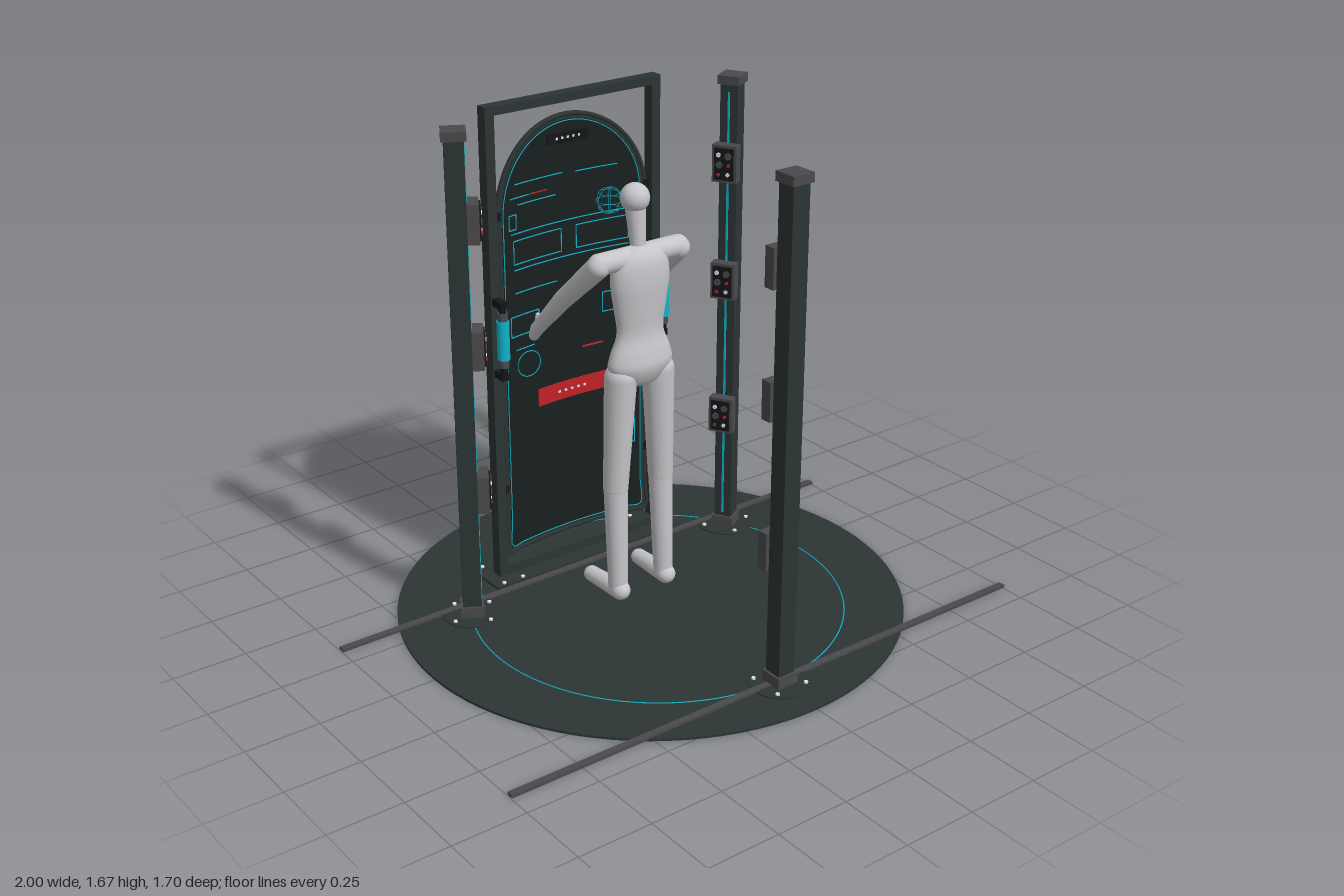
import * as THREE from 'three';

const material = (name, color) => Object.assign(new THREE.MeshStandardMaterial({ color }), { name });
const dark = material('dark metal', 0x2c3534);
const glass = material('dark glass', 0x191f1f);
const grey = material('grey housing', 0x4a494c);
const black = material('black trim', 0x141617);
const body = material('pale mannequin', 0xc6c6ca);
const cyan = material('cyan light', 0x10b4ca);
const red = material('red signal', 0xc02226);
const white = material('white fitting', 0xe2e4e6);

const V = (x, y, z) => new THREE.Vector3(x, y, z);
const UP = V(0, 1, 0);

function add(parent, name, geo, mat, x = 0, y = 0, z = 0) {
  const mesh = new THREE.Mesh(geo, mat);
  mesh.name = name;
  mesh.position.set(x, y, z);
  parent.add(mesh);
  return mesh;
}
function group(parent, name) {
  const g = new THREE.Group();
  g.name = name;
  parent.add(g);
  return g;
}
const box = (p, name, mat, w, h, d, x, y, z) => add(p, name, new THREE.BoxGeometry(w, h, d), mat, x, y, z);
const disc = (p, name, mat, r, h, x, y, z, n = 16) => add(p, name, new THREE.CylinderGeometry(r, r, h, n), mat, x, y, z);

// Tapered rod from a to b, with rounded ends if wanted
function limb(p, name, mat, a, b, ra, rb, round = true) {
  const dir = b.clone().sub(a);
  const m = add(p, name, new THREE.CylinderGeometry(rb, ra, dir.length(), 20, 1, round), mat);
  m.position.copy(a).addScaledVector(dir, 0.5);
  m.quaternion.setFromUnitVectors(UP, dir.normalize());
  if (round) for (const [c, r] of [[a, ra], [b, rb]])
    add(p, name + 'Joint', new THREE.SphereGeometry(r, 20, 14), mat, c.x, c.y, c.z);
}

// The door panel is bowed about a vertical axis
const bow = x => -0.459 + 0.38 * x * x;
const ARCH_Y = 1.29;

// Arched bowed slab
function archSlab(halfWidth, bottom, depth) {
  const geo = new THREE.BoxGeometry(2, 1, depth, 48, 8, 1);
  const pos = geo.attributes.position;
  for (let i = 0; i < pos.count; i++) {
    const x = halfWidth * Math.sin(pos.getX(i) * Math.PI / 2);
    const top = ARCH_Y + Math.sqrt(Math.max(0, halfWidth ** 2 - x * x));
    pos.setXYZ(i, x, bottom + (pos.getY(i) + 0.5) * (top - bottom), pos.getZ(i) + bow(x));
  }
  geo.computeVertexNormals();
  return geo;
}
// Tube following the arched outline
function archTube(halfWidth, bottom, radius, lift) {
  const pts = [];
  for (let i = 0; i <= 12; i++) pts.push([-halfWidth + halfWidth * i / 6, bottom]);
  for (let i = 1; i <= 12; i++) pts.push([halfWidth, bottom + (ARCH_Y - bottom) * i / 12]);
  for (let i = 1; i <= 24; i++) {
    const a = Math.PI * i / 24;
    pts.push([halfWidth * Math.cos(a), ARCH_Y + halfWidth * Math.sin(a)]);
  }
  for (let i = 1; i < 12; i++) pts.push([-halfWidth, ARCH_Y + (bottom - ARCH_Y) * i / 12]);
  const curve = new THREE.CatmullRomCurve3(pts.map(([x, y]) => V(x, y, bow(x) + lift)), true, 'centripetal');
  return new THREE.TubeGeometry(curve, 240, radius, 6, true);
}
// Thin plate lying on the bowed screen
function plate(p, name, mat, x, y, w, h, d = 0.003) {
  const geo = new THREE.BoxGeometry(w, h, d, w > 0.05 ? 12 : 1, 1, 1);
  const pos = geo.attributes.position;
  for (let i = 0; i < pos.count; i++) pos.setZ(i, pos.getZ(i) + bow(x + pos.getX(i)) + 0.009);
  geo.computeVertexNormals();
  add(p, name, geo, mat, x, y, 0);
}
function outline(p, name, x, y, w, h, t = 0.003) {
  for (const s of [-1, 1]) {
    plate(p, name, cyan, x, y + s * h / 2, w, t);
    plate(p, name, cyan, x + s * w / 2, y, t, h);
  }
}

function buildFloor(root) {
  const g = group(root, 'floor');
  disc(g, 'platform', dark, 0.848, 0.008, 0, 0.004, 0, 96);
  const ring = add(g, 'floorLightRing', new THREE.TorusGeometry(0.623, 0.0022, 6, 128), cyan, 0, 0.008, 0.04);
  ring.rotation.x = Math.PI / 2;
  for (const z of [-0.322, 0.662]) box(g, 'floorRail', grey, 2, 0.01, 0.024, 0, 0.01, z);
}

// Post with its modules on the local +z side
function buildPost(root, angle) {
  const g = group(root, 'sensorPost');
  g.position.set(0.623 * Math.sin(angle), 0, 0.046 + 0.623 * Math.cos(angle));
  g.rotation.y = angle + Math.PI;
  disc(g, 'postFlange', dark, 0.1, 0.004, 0, 0.01, 0, 32);
  box(g, 'postFoot', grey, 0.078, 0.038, 0.078, 0, 0.031, 0);
  box(g, 'postColumn', dark, 0.062, 1.62, 0.062, 0, 0.83, 0);
  box(g, 'postCap', grey, 0.078, 0.03, 0.078, 0, 1.655, 0);
  box(g, 'lightStrip', cyan, 0.007, 1.55, 0.004, 0, 0.84, 0.032);
  for (const sx of [-1, 1]) for (const sz of [-1, 1])
    disc(g, 'flangeBolt', white, 0.007, 0.008, sx * 0.058, 0.014, sz * 0.058, 8);
  for (const y of [1.378, 0.962, 0.462]) {
    const m = group(g, 'sensorModule');
    m.position.set(0, y, 0.031);
    box(m, 'moduleHousing', grey, 0.086, 0.128, 0.038, 0, 0, 0.019);
    box(m, 'moduleFace', black, 0.068, 0.11, 0.006, 0, 0, 0.04);
    for (const [mat, x, dy, r] of [[white, -0.018, 0.032, 0.008], [grey, 0.016, 0.03, 0.012],
      [red, 0.018, -0.002, 0.006], [grey, -0.015, -0.002, 0.012], [white, 0.015, -0.034, 0.007], [red, -0.018, -0.036, 0.006]])
      disc(m, 'sensorLens', mat, r, 0.006, x, dy, 0.044, 12).rotation.x = Math.PI / 2;
  }
}

function buildDoor(root) {
  const g = group(root, 'door');
  box(g, 'doorBasePlate', dark, 0.78, 0.008, 0.18, 0, 0.014, -0.43);
  for (const s of [-1, 1]) {
    box(g, 'frameUpright', dark, 0.034, 1.65, 0.042, s * 0.325, 0.843, -0.421);
    for (const x of [0.28, 0.355]) for (const z of [-0.495, -0.355])
      disc(g, 'plateBolt', white, 0.007, 0.006, s * x, 0.021, z, 8);
    for (const y of [0.33, 0.77, 1.3]) box(g, 'panelBracket', black, 0.03, 0.03, 0.024, s * 0.3, y, -0.428);
    // Handle
    const h = group(g, 'handle');
    h.position.set(s * 0.325, 0.9, -0.36);
    disc(h, 'handleBar', black, 0.012, 0.27, 0, 0, 0, 16);
    disc(h, 'handleGrip', cyan, 0.021, 0.135, 0, 0.004, 0, 24);
    for (const e of [-1, 1]) {
      box(h, 'handleArm', black, 0.026, 0.024, 0.055, 0, e * 0.125, -0.018);
      disc(h, 'gripCollar', grey, 0.017, 0.03, 0, 0.004 + e * 0.08, 0, 20);
    }
  }
  box(g, 'frameTop', dark, 0.684, 0.03, 0.042, 0, 1.655, -0.421);
  box(g, 'frameBottom', dark, 0.684, 0.032, 0.042, 0, 0.034, -0.421);

  // Bowed arched panel
  add(g, 'panelShell', archSlab(0.298, 0.08, 0.012), dark);
  add(g, 'panelScreen', archSlab(0.276, 0.1, 0.016), glass);
  add(g, 'panelRim', archTube(0.292, 0.086, 0.008, 0.003), dark);
  add(g, 'panelLightLine', archTube(0.272, 0.105, 0.0018, 0.009), cyan);

  // Screen details
  const d = group(g, 'screenDetails');
  plate(d, 'sensorBar', black, 0, 1.508, 0.16, 0.036, 0.009);
  for (let i = -2; i <= 2; i++) plate(d, 'sensorDot', white, i * 0.022, 1.508, 0.008, 0.008, 0.012);
  for (const [x, y, w] of [[-0.12, 1.39, 0.2], [0.11, 1.385, 0.16], [-0.2, 1.345, 0.08], [0, 1.1, 0.46],
    [-0.13, 1.32, 0.16], [0, 1.225, 0.48], [-0.14, 1.02, 0.18], [0.13, 1.02, 0.18], [-0.19, 0.82, 0.08]])
    plate(d, 'displayLine', cyan, x, y, w, 0.003);
  outline(d, 'displayBox', -0.232, 1.265, 0.03, 0.05);
  outline(d, 'displayBox', -0.13, 1.16, 0.2, 0.08);
  outline(d, 'displayBox', 0.13, 1.16, 0.2, 0.08);
  for (const s of [-1, 1]) outline(d, 'handMarker', s * 0.19, 0.905, 0.12, 0.07);
  outline(d, 'cornerTile', 0.205, 0.4, 0.09, 0.09);
  plate(d, 'cornerTileMark', cyan, 0.205, 0.4, 0.03, 0.006);
  plate(d, 'warningLine', red, -0.12, 1.345, 0.07, 0.004);
  plate(d, 'warningLine', red, 0.09, 0.76, 0.08, 0.006);
  plate(d, 'redButton', red, 0, 0.62, 0.28, 0.062, 0.008);
  for (let i = -2; i <= 2; i++) plate(d, 'buttonDot', white, i * 0.026, 0.62, 0.01, 0.008, 0.012);
  add(d, 'dialRing', new THREE.TorusGeometry(0.045, 0.0018, 6, 40), cyan, -0.18, 0.76, bow(-0.18) + 0.014);

  // Floating wire globe
  const globe = group(d, 'wireGlobe');
  globe.position.set(0.128, 1.28, -0.395);
  for (let i = 0; i < 3; i++)
    add(globe, 'meridian', new THREE.TorusGeometry(0.045, 0.001, 5, 32), cyan).rotation.y = i * Math.PI / 3;
  for (const k of [-0.6, 0, 0.6])
    add(globe, 'parallel', new THREE.TorusGeometry(0.045 * Math.sqrt(1 - k * k), 0.001, 5, 32), cyan, 0, 0.045 * k, 0).rotation.x = Math.PI / 2;
}

function buildMannequin(root) {
  const g = group(root, 'mannequin');
  // Torso
  const profile = new THREE.SplineCurve([[0.001, 0.765], [0.07, 0.785], [0.118, 0.84], [0.112, 0.89], [0.087, 0.96],
    [0.098, 1.05], [0.109, 1.13], [0.1, 1.2], [0.06, 1.24], [0.001, 1.25]].map(p => new THREE.Vector2(...p)));
  add(g, 'torso', new THREE.LatheGeometry(profile.getPoints(40), 32), body, 0, 0, -0.056).scale.z = 0.53;
  limb(g, 'shoulders', body, V(-0.155, 1.212, -0.062), V(0.155, 1.212, -0.062), 0.036, 0.036);
  // Head and neck
  limb(g, 'neck', body, V(0, 1.23, -0.065), V(0, 1.375, -0.08), 0.024, 0.034);
  add(g, 'head', new THREE.SphereGeometry(0.048, 28, 20), body, 0, 1.397, -0.081);
  for (const s of [-1, 1]) {
    // Arms reach forward and down
    limb(g, 'upperArm', body, V(s * 0.158, 1.205, -0.062), V(s * 0.178, 1.045, -0.235), 0.038, 0.031);
    limb(g, 'forearm', body, V(s * 0.178, 1.045, -0.235), V(s * 0.183, 0.905, -0.375), 0.031, 0.023);
    limb(g, 'hand', body, V(s * 0.183, 0.905, -0.375), V(s * 0.182, 0.875, -0.395), 0.023, 0.018);
    limb(g, 'thumb', body, V(s * 0.172, 0.9, -0.39), V(s * 0.168, 0.945, -0.392), 0.011, 0.008);
    // Legs
    limb(g, 'thigh', body, V(s * 0.075, 0.81, -0.06), V(s * 0.092, 0.42, -0.068), 0.054, 0.042);
    limb(g, 'shin', body, V(s * 0.092, 0.42, -0.068), V(s * 0.095, 0.055, -0.055), 0.041, 0.033);
    limb(g, 'foot', body, V(s * 0.095, 0.046, -0.04), V(s * 0.1, 0.041, -0.2), 0.033, 0.027);
  }
}

export function createModel() {
  const root = new THREE.Group();
  root.name = 'scanningStation';
  buildFloor(root);
  for (let i = 0; i < 3; i++) buildPost(root, i * Math.PI * 2 / 3);
  buildDoor(root);
  buildMannequin(root);
  return root;
}
